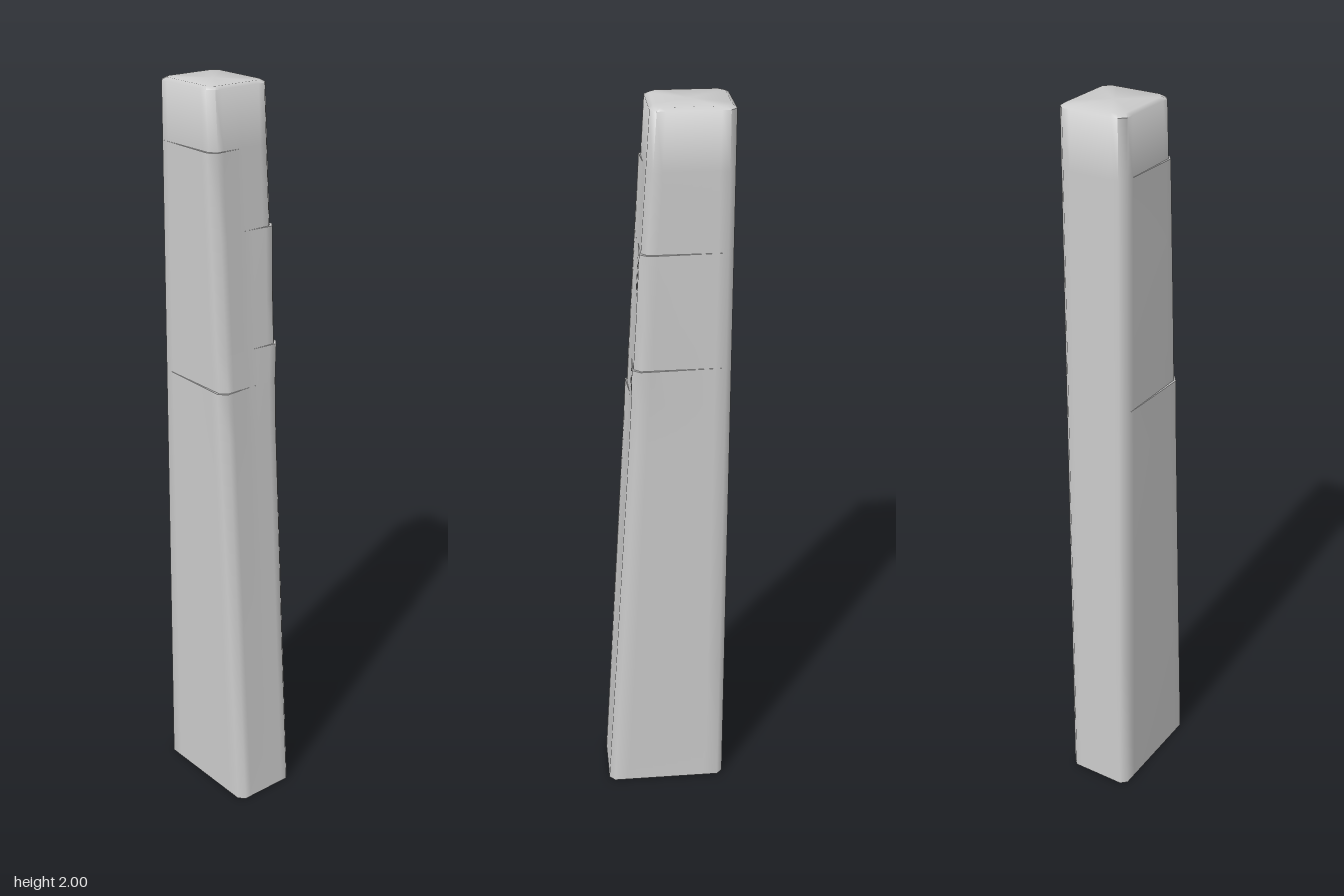
import * as THREE from 'three';
import { toCreasedNormals } from 'three/addons/utils/BufferGeometryUtils.js';

const N = 8; // points along each face
const lerp = THREE.MathUtils.lerp;

// Chamfered rectangle at height y; front / back swell the two corners on the sloping side.
function ring(y, front, back, inset = 0) {
  const c = 0.016, h = 0.093 - inset;
  const x0 = -0.168 + inset, x1 = 0.168 - 0.064 * y - inset;
  const pts = [];
  const face = (fn) => { for (let i = 0; i <= N; i++) pts.push(fn(i / N)); };
  face((u) => [lerp(x0 + c, x1 - c, u), y, h + front * u]);
  face((u) => [
    x1 + 0.7 * Math.max(0, front * (1 - 2 * u), back * (2 * u - 1)), y,
    lerp(h - c + front, -(h - c + back), u),
  ]);
  face((u) => [lerp(x1 - c, x0 + c, u), y, -(h + back * (1 - u))]);
  face((u) => [x0, y, lerp(-(h - c), h - c, u)]);
  return pts;
}

export function createModel() {
  const group = new THREE.Group();

  // Rows from top to bottom: height, front swell, back swell, inset.
  // Repeated heights make the shallow ledges.
  const rows = [
    [2, 0, 0, 0.01], [1.993, 0, 0],
    [1.845, 0, 0], [1.845, 0.006, 0],
    [1.64, 0.005, 0], [1.64, 0.005, 0.007],
    [1.45, 0.004, 0.003],
    [1.33, 0.003, 0.002], [1.33, 0.003, 0.008],
    [1.23, 0.002, 0.003], [1.23, 0.008, 0.003],
    [1.1, 0.006, 0.001], [0.4, 0.002, 0], [0, 0, 0],
  ];
  const rings = rows.map((r) => ring(...r));
  const count = rings[0].length;
  const index = [];

  // Walls
  for (let r = 0; r < rings.length - 1; r++) {
    for (let i = 0; i < count; i++) {
      const j = (i + 1) % count;
      const a = r * count + i, b = r * count + j;
      index.push(a, a + count, b + count, a, b + count, b);
    }
  }

  // Flat top; the underside stays open
  const centre = rings.length * count;
  for (let i = 0; i < count; i++) index.push(centre, i, (i + 1) % count);

  const geometry = new THREE.BufferGeometry();
  geometry.setAttribute('position',
    new THREE.Float32BufferAttribute([...rings.flat(2), -0.064, 2, 0], 3));
  geometry.setIndex(index);

  const post = new THREE.Mesh(
    toCreasedNormals(geometry, 1.1),
    new THREE.MeshStandardMaterial({ color: 0xcccccc, side: THREE.DoubleSide }),
  );
  post.name = 'taperedPost';
  group.add(post);
  return group;
}
